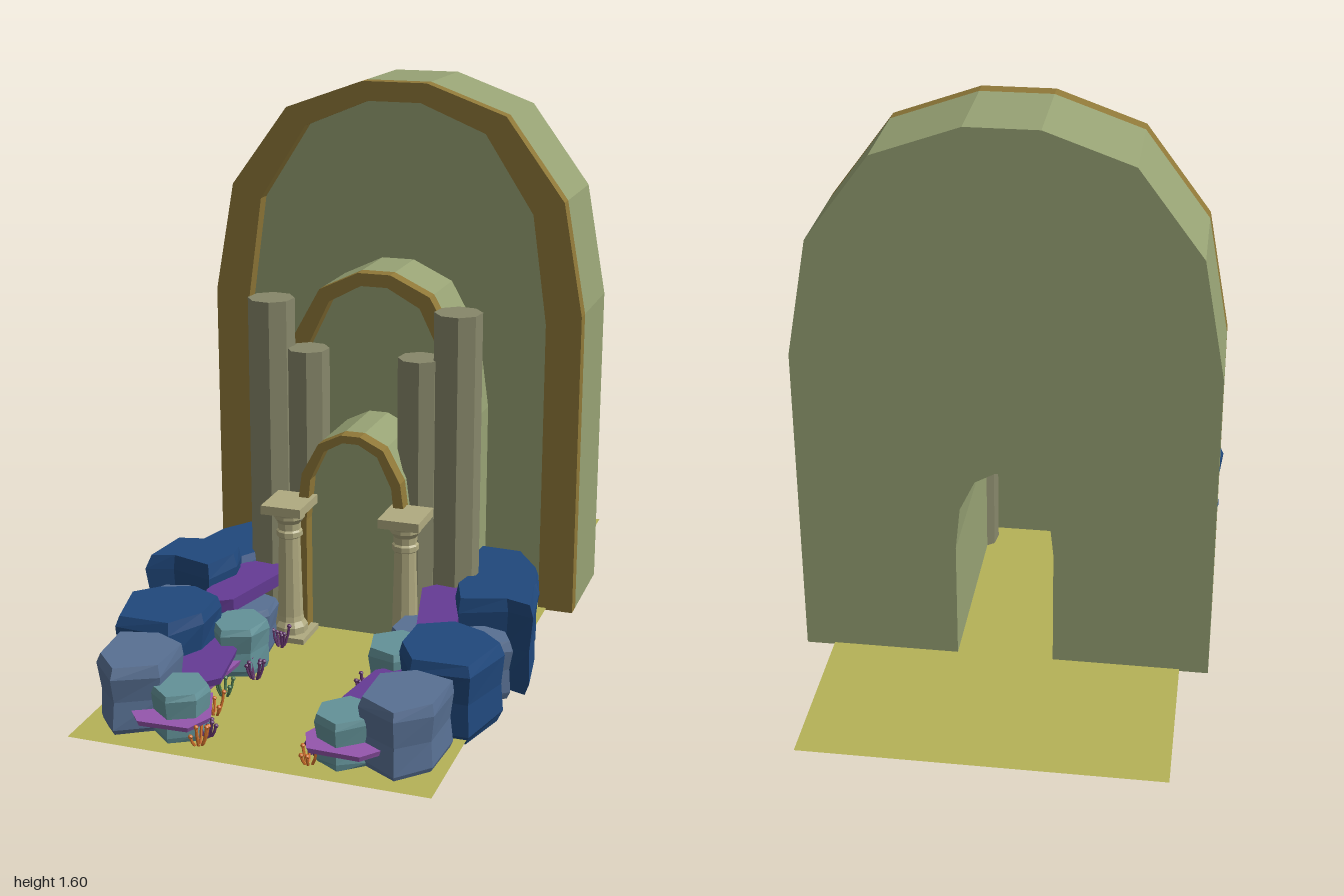
import * as THREE from 'three';

const mat = (color) => new THREE.MeshStandardMaterial({ color, flatShading: true, side: THREE.DoubleSide });
const M = {
  sand: mat(0xb5b257), wall: mat(0x97a274), gold: mat(0x8f7838), column: mat(0x87876a), pillar: mat(0xb0aa80),
  navy: mat(0x20487c), slate: mat(0x587093), teal: mat(0x639298), purple: mat(0x653b95), lilac: mat(0x9556ad),
  orange: mat(0xd0702c), green: mat(0x4f7a50), plum: mat(0x63356b),
};

let seed = 7;
const rand = () => (seed = (seed * 16807) % 2147483647) / 2147483647;

function add(parent, name, geometry, material, x = 0, y = 0, z = 0) {
  const mesh = new THREE.Mesh(geometry, material);
  mesh.name = name;
  mesh.position.set(x, y, z);
  parent.add(mesh);
  return mesh;
}

// Half profiles of the largest arch, measured from its foot; smaller arches scale them
const FOOT = 0.028;
const OUTER = [[0.57, 0], [0.57, 0.92], [0.51, 1.25], [0.335, 1.487], [0.098, 1.572]];
const INNER = [[0.465, 0], [0.465, 0.89], [0.42, 1.21], [0.275, 1.435], [0.08, 1.515]];

function archPoints(half, sx, sy) {
  const right = half.map(([x, y]) => new THREE.Vector2(x * sx, y * sy + FOOT));
  const left = right.map((p) => new THREE.Vector2(-p.x, p.y)).reverse();
  return [...right, ...left];
}

function extrude(points, depth) {
  return new THREE.ExtrudeGeometry(new THREE.Shape(points), { depth, bevelEnabled: false });
}

// Thick arch with a doorway through it and a raised rim on the front
function arch(parent, name, sx, sy, front, door) {
  const group = new THREE.Group();
  group.name = name;
  parent.add(group);
  const outer = archPoints(OUTER, sx, sy);
  const inner = archPoints(INNER, sx, sy);
  const depth = 0.28, rim = 0.045;
  add(group, 'archBody', extrude([...outer, ...[...door].reverse()], depth), M.wall, 0, 0, front - rim - depth);
  add(group, 'archRim', extrude([...outer, ...inner.reverse()], rim), M.gold, 0, 0, front - rim);
}

// Rock or slab: a plan outline lofted through slightly uneven rings
function rockGeometry(plan, y0, y1, rings, jitter) {
  const n = plan.length;
  const cx = plan.reduce((s, p) => s + p[0], 0) / n;
  const cz = plan.reduce((s, p) => s + p[1], 0) / n;
  const loops = rings.map(([t, s]) => plan.map(([x, z]) => {
    const k = s + (rand() - 0.5) * jitter;
    const y = y0 + (y1 - y0) * t + (t > 0 && t < 1 ? (rand() - 0.5) * jitter * 0.2 : 0);
    return [cx + (x - cx) * k, y, cz + (z - cz) * k];
  }));
  const v = [];
  const tri = (a, b, c) => v.push(...a, ...b, ...c);
  for (let i = 0; i < n; i++) {
    const j = (i + 1) % n;
    for (let r = 0; r + 1 < loops.length; r++) {
      const a = loops[r], b = loops[r + 1];
      tri(a[i], b[i], a[j]);
      tri(b[i], b[j], a[j]);
    }
    const top = loops[loops.length - 1];
    tri([cx, y0, cz], loops[0][i], loops[0][j]);
    tri([cx, y1, cz], top[j], top[i]);
  }
  const g = new THREE.BufferGeometry();
  g.setAttribute('position', new THREE.Float32BufferAttribute(v, 3));
  g.computeVertexNormals();
  return g;
}

const BOULDER = [[0, 0.86], [0.14, 0.96], [0.5, 0.92], [0.86, 1], [1, 0.92]];
const SLAB = [[0, 0.95], [1, 1]];

// Plan outlines [x, z] for the +x side
const ROCKS = [
  ['rearBoulder', 'navy', 0.03, 0.23, [[0.29, -0.17], [0.42, -0.16], [0.5, -0.04], [0.53, 0.08], [0.5, 0.18], [0.35, 0.17], [0.27, 0.03]]],
  ['tallBoulder', 'navy', 0.005, 0.275, [[0.34, 0.19], [0.42, 0.15], [0.55, 0.18], [0.575, 0.345], [0.5, 0.32], [0.37, 0.36], [0.33, 0.25]]],
  ['frontBoulder', 'navy', 0.015, 0.24, [[0.28, 0.47], [0.38, 0.42], [0.48, 0.46], [0.545, 0.52], [0.5, 0.7], [0.34, 0.7], [0.28, 0.6]]],
  ['slateStone', 'slate', 0.03, 0.2, [[0.37, 0.37], [0.44, 0.34], [0.51, 0.36], [0.54, 0.42], [0.48, 0.47], [0.38, 0.46]]],
  ['frontSlateStone', 'slate', 0.02, 0.22, [[0.27, 0.75], [0.36, 0.7], [0.47, 0.73], [0.46, 0.88], [0.38, 0.965], [0.27, 0.9]]],
  ['innerSlateStone', 'slate', 0.03, 0.17, [[0.19, 0.28], [0.26, 0.25], [0.32, 0.31], [0.31, 0.4], [0.23, 0.43], [0.18, 0.37]]],
  ['tealStone', 'teal', 0.03, 0.175, [[0.15, 0.44], [0.22, 0.38], [0.29, 0.41], [0.31, 0.49], [0.25, 0.56], [0.17, 0.53]]],
  ['frontTealStone', 'teal', 0.03, 0.165, [[0.15, 0.85], [0.21, 0.79], [0.28, 0.81], [0.3, 0.9], [0.23, 0.96], [0.16, 0.92]]],
];
const SLABS = [
  ['rearShelf', 'purple', 0.17, 0.21, [[0.21, 0.17], [0.27, 0.1], [0.35, 0.16], [0.37, 0.38], [0.33, 0.46], [0.27, 0.42]]],
  ['middleShelf', 'purple', 0.11, 0.13, [[0.2, 0.56], [0.28, 0.5], [0.36, 0.6], [0.36, 0.76], [0.24, 0.82], [0.17, 0.74]]],
  ['lowerShelf', 'lilac', 0.07, 0.085, [[0.2, 0.52], [0.33, 0.5], [0.35, 0.74], [0.22, 0.74]]],
  ['frontShelf', 'lilac', 0.085, 0.1, [[0.13, 0.9], [0.18, 0.77], [0.33, 0.78], [0.38, 0.88], [0.3, 0.98], [0.16, 0.975]]],
];
const CORALS = [[0.17, 0.31, 'plum'], [0.16, 0.53, 'plum'], [0.2, 0.65, 'green'], [0.18, 0.76, 'orange'], [0.15, 0.88, 'plum'], [0.15, 0.93, 'orange']];

// Small branching coral
function coral(parent, x, z, material) {
  const group = new THREE.Group();
  group.name = 'coral';
  group.position.set(x, 0.02, z);
  parent.add(group);
  for (let i = 0; i < 6; i++) {
    const a = i * Math.PI / 3 + rand();
    const h = 0.04 + rand() * 0.035;
    const bend = new THREE.QuadraticBezierCurve3(
      new THREE.Vector3(),
      new THREE.Vector3(Math.cos(a) * 0.02, h * 0.4, Math.sin(a) * 0.02),
      new THREE.Vector3(Math.cos(a) * 0.024, h, Math.sin(a) * 0.024));
    add(group, 'coralBranch', new THREE.TubeGeometry(bend, 3, 0.004, 5), material);
    add(group, 'coralTip', new THREE.IcosahedronGeometry(0.007, 0), material, Math.cos(a) * 0.024, h, Math.sin(a) * 0.024);
  }
}

// Slender pillar with square plinth and cap
function pillar(parent, x, z) {
  const group = new THREE.Group();
  group.name = 'pillar';
  group.position.set(x, 0, z);
  parent.add(group);
  add(group, 'plinth', new THREE.BoxGeometry(0.125, 0.04, 0.125), M.pillar, 0, 0.03, 0);
  const profile = [[0, 0.05], [0.05, 0.05], [0.05, 0.07], [0.04, 0.085], [0.037, 0.1], [0.031, 0.34], [0.038, 0.345],
    [0.038, 0.36], [0.033, 0.365], [0.034, 0.385], [0.045, 0.4], [0.045, 0.41], [0.052, 0.425], [0, 0.425]];
  add(group, 'shaft', new THREE.LatheGeometry(profile.map(([r, y]) => new THREE.Vector2(r, y)), 10), M.pillar);
  add(group, 'cap', new THREE.BoxGeometry(0.12, 0.026, 0.14), M.pillar, 0, 0.437, 0);
}

export function createModel() {
  const model = new THREE.Group();
  model.name = 'archedTemple';

  const ground = add(model, 'ground', new THREE.PlaneGeometry(0.98, 2), M.sand, 0, 0.034, 0);
  ground.rotation.x = -Math.PI / 2;

  // Three nested arches sharing one doorway, closed at the front
  const door = archPoints(INNER, 0.29, 0.395);
  arch(model, 'largeArch', 1, 1, -0.2, door);
  arch(model, 'middleArch', 0.5, 0.665, -0.018, door);
  arch(model, 'smallArch', 0.29, 0.395, 0.19, door);
  add(model, 'doorPanel', extrude(door, 0.01), M.wall, 0, 0, 0.135);

  for (const side of [1, -1]) {
    const group = new THREE.Group();
    group.name = side > 0 ? 'leftSide' : 'rightSide';
    model.add(group);

    // Plain octagonal columns
    for (const [x, r, top] of [[0.28, 0.068, 1.005], [0.168, 0.062, 0.865]]) {
      const g = new THREE.CylinderGeometry(r, r, top - 0.005, 8);
      g.rotateY(Math.PI / 12);
      add(group, 'column', g, M.column, x * side, (top + 0.005) / 2, 0.075);
    }
    pillar(group, 0.175 * side, 0.222);

    // Rocks and shelves, with the outline reversed when mirrored
    const plan = (pts) => (side > 0 ? pts : pts.map(([x, z]) => [-x, z]).reverse());
    for (const [name, m, y0, y1, pts] of ROCKS) add(group, name, rockGeometry(plan(pts), y0, y1, BOULDER, 0.05), M[m]);
    for (const [name, m, y0, y1, pts] of SLABS) add(group, name, rockGeometry(plan(pts), y0, y1, SLAB, 0.02), M[m]);
    for (const [x, z, m] of CORALS) coral(group, x * side, z, M[m]);
  }
  return model;
}
